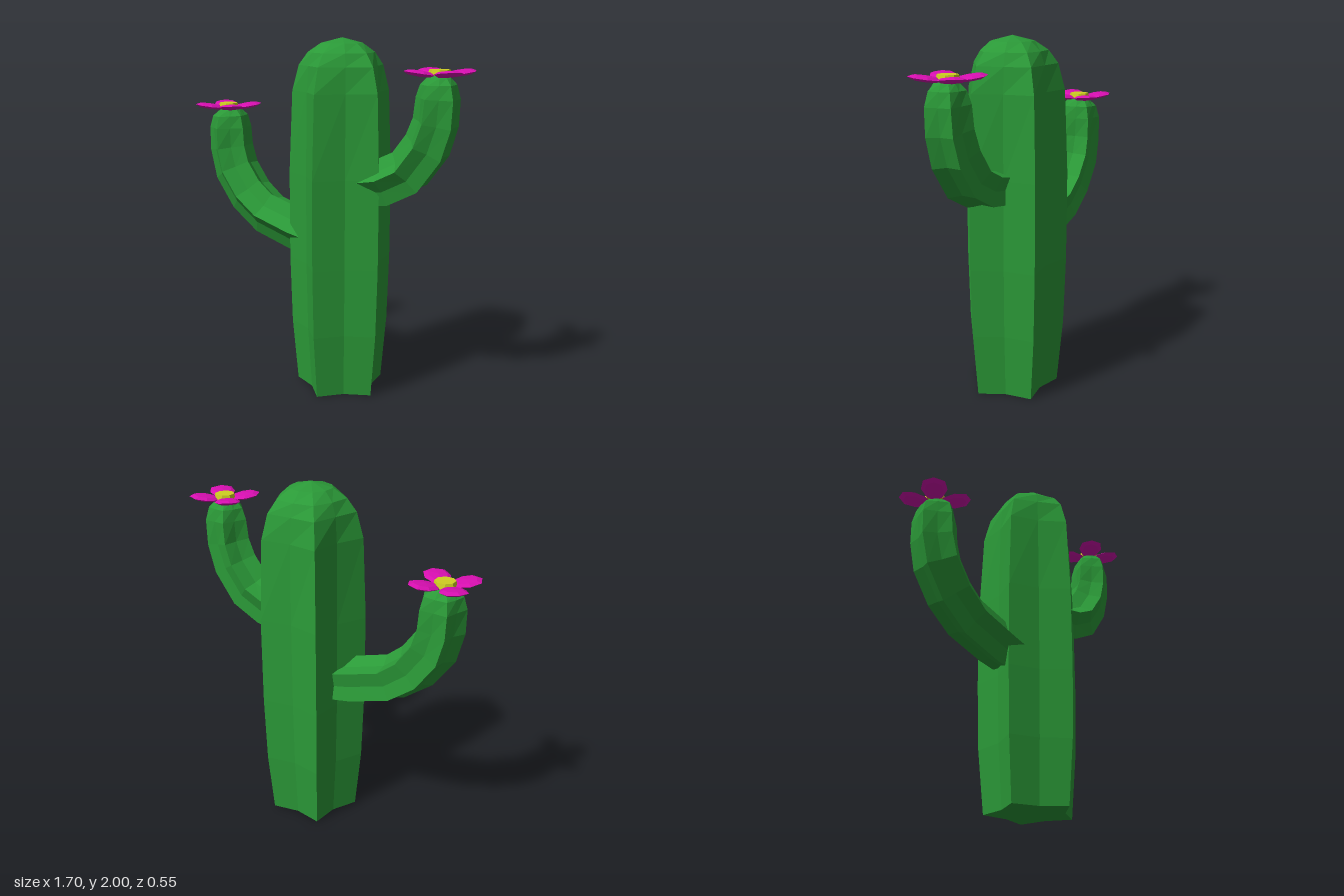
import * as THREE from 'three';

const mat = (color) => new THREE.MeshStandardMaterial({ color, flatShading: true });
const green = mat(0x2b9a38), pink = mat(0xd60fb0), yellow = mat(0xcfcf22);

// Five-pointed star section swept through rings [x, y, outerRadius, inner/outer ratio], closed at both ends
function ribbedStem(name, rings, z, twist = 0) {
  const pos = [], index = [], n = 10;
  const centres = rings.map(([x, y]) => new THREE.Vector3(x, y, z));
  const u = new THREE.Vector3(0, 0, 1);
  rings.forEach(([, , r, ratio], i) => {
    const t = centres[Math.min(i + 1, rings.length - 1)].clone()
      .sub(centres[Math.max(i - 1, 0)]).normalize();
    const v = t.cross(u);
    for (let j = 0; j < n; j++) {
      const a = twist + (j / n) * Math.PI * 2;
      const d = j % 2 ? r * ratio : r;
      const p = centres[i].clone().addScaledVector(u, d * Math.cos(a)).addScaledVector(v, d * Math.sin(a));
      pos.push(p.x, p.y, p.z);
    }
  });
  for (let i = 0; i < rings.length - 1; i++) {
    for (let j = 0; j < n; j++) {
      const a = i * n + j, b = i * n + (j + 1) % n;
      index.push(a, b, b + n, a, b + n, a + n);
    }
  }
  // End caps fanned from the first and last centres
  const first = pos.length / 3, top = (rings.length - 1) * n;
  const end = centres[centres.length - 1];
  pos.push(...centres[0].toArray(), end.x, end.y + 0.03, end.z);
  for (let j = 0; j < n; j++) {
    const k = (j + 1) % n;
    index.push(first, k, j, first + 1, top + j, top + k);
  }
  const geo = new THREE.BufferGeometry();
  geo.setAttribute('position', new THREE.Float32BufferAttribute(pos, 3));
  geo.setIndex(index);
  geo.computeVertexNormals();
  const mesh = new THREE.Mesh(geo, green);
  mesh.name = name;
  return mesh;
}

// Low-poly petal: flattened sphere, narrower towards the flower's middle
function petalGeometry() {
  const geo = new THREE.SphereGeometry(1, 8, 4);
  const p = geo.attributes.position;
  for (let i = 0; i < p.count; i++) p.setZ(i, p.getZ(i) * (0.92 + 0.2 * p.getX(i)));
  geo.scale(0.09, 0.017, 0.078);
  geo.rotateZ(0.15);
  geo.translate(0.108, 0, 0);
  return geo;
}

function flower(name, x, y, z) {
  const g = new THREE.Group();
  g.name = name;
  const petal = petalGeometry();
  for (let i = 0; i < 4; i++) {
    const m = new THREE.Mesh(petal, pink);
    m.name = 'petal';
    m.rotation.y = Math.PI / 4 + (i * Math.PI) / 2;
    g.add(m);
  }
  const heart = new THREE.Mesh(new THREE.CylinderGeometry(0.055, 0.062, 0.03, 8), yellow);
  heart.name = 'flowerCentre';
  heart.rotation.y = Math.PI / 8;
  heart.position.y = 0.004;
  g.add(heart);
  g.position.set(x, y, z);
  return g;
}

export function createModel() {
  const model = new THREE.Group();
  model.name = 'cactus';
  const cx = 0.105;

  model.add(ribbedStem('trunk', [
    [cx, 0, 0.26, 0.7], [cx, 0.36, 0.293, 0.7], [cx, 0.75, 0.305, 0.7], [cx, 1.25, 0.305, 0.7],
    [cx, 1.71, 0.285, 0.73], [cx, 1.85, 0.247, 0.8], [cx, 1.92, 0.195, 0.88], [cx, 1.97, 0.12, 0.97],
  ], -0.03));

  model.add(ribbedStem('rightArm', [
    [0, 0.86, 0.13, 0.7], [-0.18, 0.9, 0.138, 0.7], [-0.41, 0.97, 0.138, 0.7], [-0.54, 1.07, 0.14, 0.7],
    [-0.64, 1.21, 0.14, 0.7], [-0.675, 1.34, 0.135, 0.72], [-0.68, 1.46, 0.13, 0.78],
    [-0.68, 1.53, 0.11, 0.85], [-0.685, 1.565, 0.07, 0.95],
  ], -0.03));

  model.add(ribbedStem('leftArm', [
    [0.2, 1.2, 0.13, 0.7], [0.4, 1.235, 0.138, 0.7], [0.53, 1.3, 0.138, 0.7], [0.635, 1.44, 0.135, 0.7],
    [0.68, 1.57, 0.128, 0.72], [0.69, 1.7, 0.122, 0.78], [0.69, 1.77, 0.1, 0.85], [0.69, 1.805, 0.065, 0.95],
  ], -0.015, -0.17));

  model.add(flower('rightFlower', -0.69, 1.587, -0.03));
  model.add(flower('leftFlower', 0.69, 1.828, -0.025));
  return model;
}
